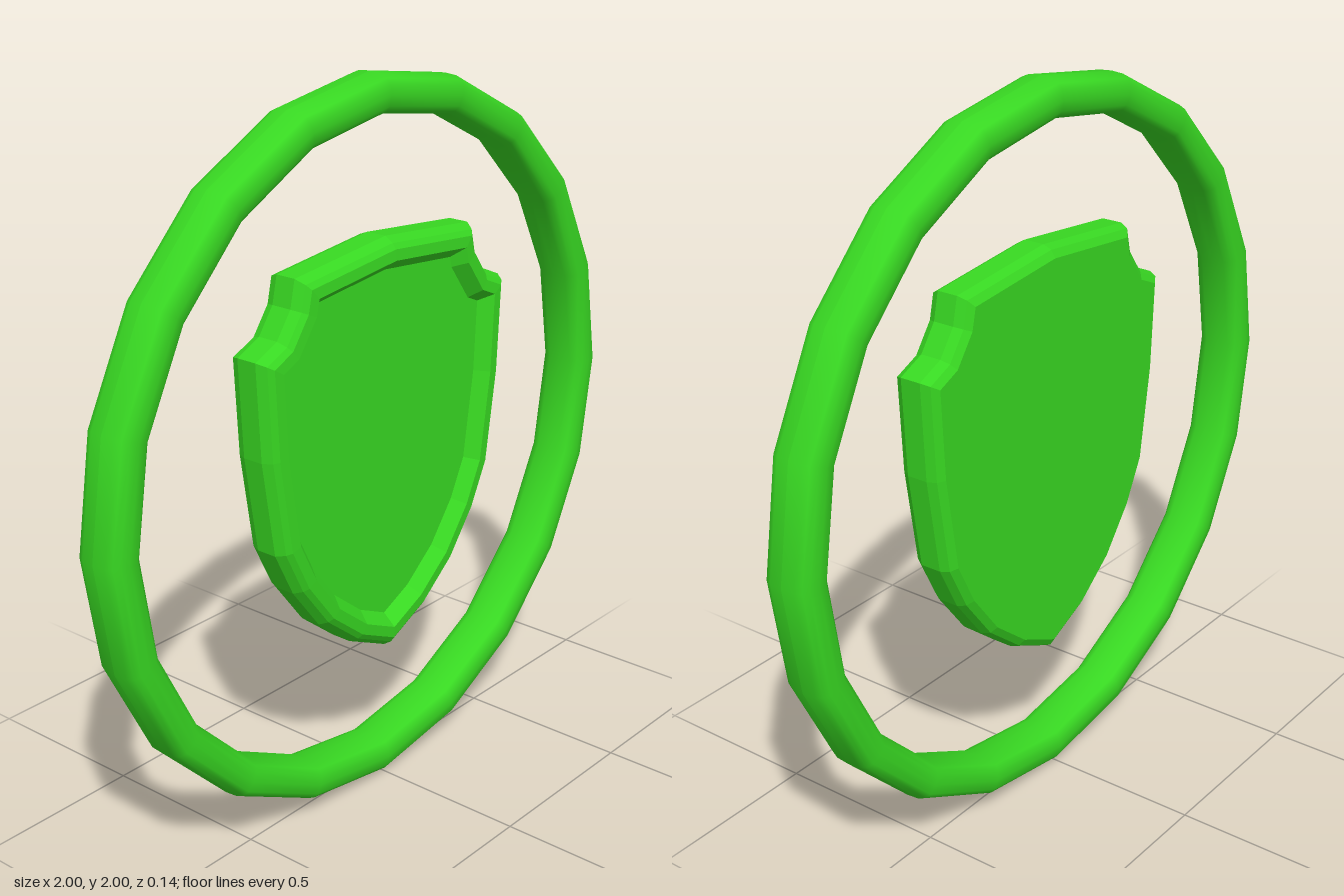
import * as THREE from 'three';

const green = new THREE.MeshStandardMaterial({ color: 0x38d822 });
const greenFlat = new THREE.MeshStandardMaterial({ color: 0x38d822, flatShading: true });

// Twenty-sided hoop with a rounded, slightly deep cross-section
function createRing() {
  const section = [];
  const steps = 16;
  const soft = (v) => Math.sign(v) * Math.abs(v) ** 0.7;
  for (let i = 0; i <= steps; i++) {
    const a = (i / steps) * Math.PI * 2;
    section.push(new THREE.Vector2(0.947 + 0.053 * soft(Math.cos(a)), 0.072 * soft(Math.sin(a))));
  }
  const geometry = new THREE.LatheGeometry(section, 20);
  geometry.rotateX(Math.PI / 2);
  const ring = new THREE.Mesh(geometry, green);
  ring.name = 'ring';
  ring.position.y = 1;
  return ring;
}

// Right half of the shield outline, from bottom tip to top centre
const half = [
  [0, 0.39], [0.15, 0.46], [0.275, 0.56], [0.375, 0.69], [0.44, 0.82], [0.482, 1.09], [0.497, 1.36],
  [0.418, 1.395], [0.367, 1.465], [0.35, 1.54], [0, 1.575],
];

// Full counter-clockwise outline, mirrored
function shieldOutline() {
  const right = half.map(([x, y]) => new THREE.Vector2(x, y));
  const left = half.slice(1, -1).reverse().map(([x, y]) => new THREE.Vector2(-x, y));
  return [...right, ...left];
}

// Moves every edge inwards by d, with mitred corners
function inset(points, d) {
  const n = points.length;
  const normal = (a, b) => new THREE.Vector2(a.y - b.y, b.x - a.x).normalize();
  return points.map((p, i) => {
    const n1 = normal(points[(i + n - 1) % n], p);
    const n2 = normal(p, points[(i + 1) % n]);
    return n1.clone().add(n2).multiplyScalar(d / (1 + n1.dot(n2))).add(p);
  });
}

// Bands that join the inset outlines listed as [inset, z], from back to front
function createBands(outline, profile) {
  const loops = profile.map(([d, z]) => inset(outline, d).map((p) => [p.x, p.y, z]));
  const positions = [];
  for (let k = 0; k < loops.length - 1; k++) {
    for (let i = 0; i < outline.length; i++) {
      const j = (i + 1) % outline.length;
      const [a, b, c, d] = [loops[k][i], loops[k][j], loops[k + 1][j], loops[k + 1][i]];
      positions.push(...a, ...b, ...c, ...a, ...c, ...d);
    }
  }
  const geometry = new THREE.BufferGeometry();
  geometry.setAttribute('position', new THREE.Float32BufferAttribute(positions, 3));
  geometry.computeVertexNormals();
  return geometry;
}

function createShield() {
  const shield = new THREE.Group();
  shield.name = 'shield';
  const outline = shieldOutline();
  const profile = [[0.03, -0.068], [0.01, -0.055], [0, -0.03], [0, 0.03], [0.015, 0.055], [0.03, 0.066], [0.06, 0.068], [0.09, 0.03]];
  const add = (geometry, name) => {
    const mesh = new THREE.Mesh(geometry, greenFlat);
    mesh.name = name;
    shield.add(mesh);
    return mesh;
  };

  // Rounded border with its inner slope
  add(createBands(outline, profile), 'shieldBorder');

  // Recessed front panel
  const [frontInset, frontZ] = profile[profile.length - 1];
  add(new THREE.ShapeGeometry(new THREE.Shape(inset(outline, frontInset))), 'frontPanel').position.z = frontZ;

  // Flat back, turned to face -z (the outline is symmetric)
  const [backInset, backZ] = profile[0];
  const back = new THREE.ShapeGeometry(new THREE.Shape(inset(outline, backInset)));
  back.rotateY(Math.PI);
  add(back, 'backPanel').position.z = backZ;

  shield.position.x = 0.027;
  return shield;
}

export function createModel() {
  const model = new THREE.Group();
  model.name = 'shieldEmblem';
  model.add(createRing(), createShield());
  return model;
}
